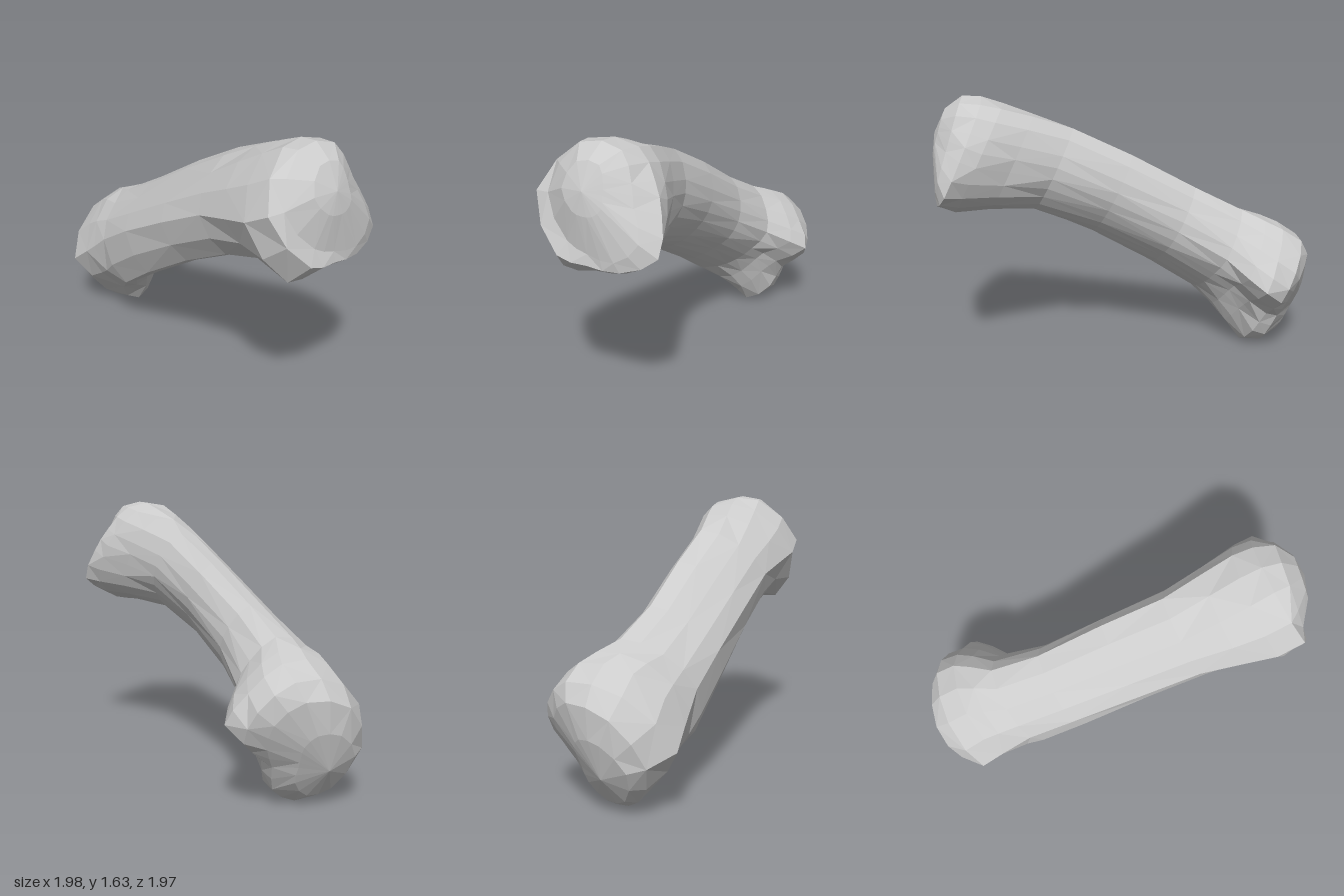
import * as THREE from 'three';

// Frame of the slanted shaft: origin, then along, side and up directions
const ORIGIN = new THREE.Vector3(0, 0.85, 0);
const ALONG = new THREE.Vector3(0.637, 0.431, 0.637).normalize();
const SIDE = new THREE.Vector3(1, 0, -1).normalize();
const UP = new THREE.Vector3().crossVectors(ALONG, SIDE).normalize();

// Directions (degrees) of the radii in each cross-section
const ANGLES = [0, 30, 65, 115, 180, 240, 270, 300, 330];
const AROUND = ANGLES.length * 2;

// Cross-sections: distance along, slope to the side, slope upwards, centre (side, up), radii
const base = [
  [-1.26, 0.2, 0, 0, 0, [0.12, 0.14, 0.16, 0.16, 0.20, 0.26, 0.27, 0.20, 0.13]],
  [-1.19, 0.2, 0, 0, 0, [0.27, 0.32, 0.34, 0.30, 0.29, 0.33, 0.37, 0.32, 0.24]],
  [-1.08, 0.05, 0, 0, 0, [0.37, 0.40, 0.41, 0.36, 0.40, 0.33, 0.41, 0.33, 0.26]],
  [-0.93, 0, 0, 0, 0.03, [0.42, 0.38, 0.395, 0.355, 0.38, 0.36, 0.36, 0.26, 0.26]],
  [-0.82, 0, 0, -0.04, 0.05, [0.38, 0.36, 0.37, 0.32, 0.33, 0.37, 0.32, 0.24, 0.23]],
];
const shaft = [
  [-0.68, 0, 0, -0.10, 0.08, [0.31, 0.31, 0.33, 0.24, 0.26, 0.37, 0.30, 0.26, 0.26]],
  [-0.35, 0, 0, -0.125, 0.10, [0.255, 0.275, 0.31, 0.205, 0.245, 0.34, 0.29, 0.24, 0.24]],
  [0.10, 0, 0, -0.125, 0.10, [0.245, 0.285, 0.335, 0.215, 0.25, 0.30, 0.26, 0.23, 0.22]],
  [0.50, 0, 0, -0.125, 0.09, [0.275, 0.30, 0.345, 0.23, 0.25, 0.29, 0.26, 0.27, 0.26]],
];
const head = [
  [0.75, 0, 0, -0.08, 0.04, [0.30, 0.32, 0.37, 0.30, 0.32, 0.30, 0.28, 0.32, 0.33]],
  [0.94, 0, 0, -0.04, 0, [0.35, 0.34, 0.38, 0.35, 0.38, 0.42, 0.35, 0.376, 0.39]],
  [1.07, -0.1, 0, -0.02, 0, [0.35, 0.32, 0.35, 0.35, 0.38, 0.36, 0.33, 0.38, 0.44]],
  [1.13, 0, 0.15, -0.02, 0, [0.24, 0.24, 0.30, 0.31, 0.29, 0.26, 0.27, 0.33, 0.34]],
  [1.21, 0, 0.15, -0.03, 0.03, [0.11, 0.12, 0.16, 0.16, 0.14, 0.12, 0.12, 0.13, 0.13]],
];

const place = (t, s, u) => ORIGIN.clone()
  .addScaledVector(ALONG, t).addScaledVector(SIDE, s).addScaledVector(UP, u);

// Smooth closed ring through the radii of one section
function ring([t, sideSlope, upSlope, cs, cu, radii]) {
  const points = radii.map((r, i) => {
    const a = THREE.MathUtils.degToRad(ANGLES[i]);
    const s = cs + r * Math.cos(a), u = cu + r * Math.sin(a);
    return place(t + sideSlope * s + upSlope * u, s, u);
  });
  return new THREE.CatmullRomCurve3(points, true, 'centripetal').getPoints(AROUND).slice(0, AROUND);
}

// Skin over a row of rings, closed by a shallow cap where a tip is given
function loft(sections, startTip, endTip) {
  const vertices = sections.flatMap(ring);
  const index = [];
  for (let i = 0; i < sections.length - 1; i++) {
    for (let j = 0; j < AROUND; j++) {
      const a = i * AROUND + j, b = i * AROUND + (j + 1) % AROUND;
      const c = b + AROUND, d = a + AROUND;
      // Alternate the diagonals for an irregular faceted surface
      if ((i + j) % 2) index.push(a, b, c, a, c, d);
      else index.push(a, b, d, b, c, d);
    }
  }
  const cap = (tip, start, flip) => {
    const centre = vertices.push(tip) - 1;
    for (let j = 0; j < AROUND; j++) {
      const a = start + j, b = start + (j + 1) % AROUND;
      index.push(centre, flip ? b : a, flip ? a : b);
    }
  };
  if (startTip) cap(startTip, 0, true);
  if (endTip) cap(endTip, (sections.length - 1) * AROUND, false);
  const geometry = new THREE.BufferGeometry().setFromPoints(vertices);
  geometry.setIndex(index);
  geometry.computeVertexNormals();
  return geometry;
}

export function createModel() {
  const group = new THREE.Group();
  group.name = 'bone';
  const material = new THREE.MeshStandardMaterial({ color: 0xcccccc, flatShading: true });
  const add = (name, geometry) => {
    const mesh = new THREE.Mesh(geometry, material);
    mesh.name = name;
    group.add(mesh);
  };

  // Neighbouring parts share a ring so the surface stays closed
  add('lobedBase', loft([...base, shaft[0]], place(-1.31, -0.04, -0.06), null));
  add('shaft', loft([...shaft, head[0]], null, null));
  add('roundedHead', loft(head, null, place(1.24, -0.03, 0.03)));
  return group;
}
